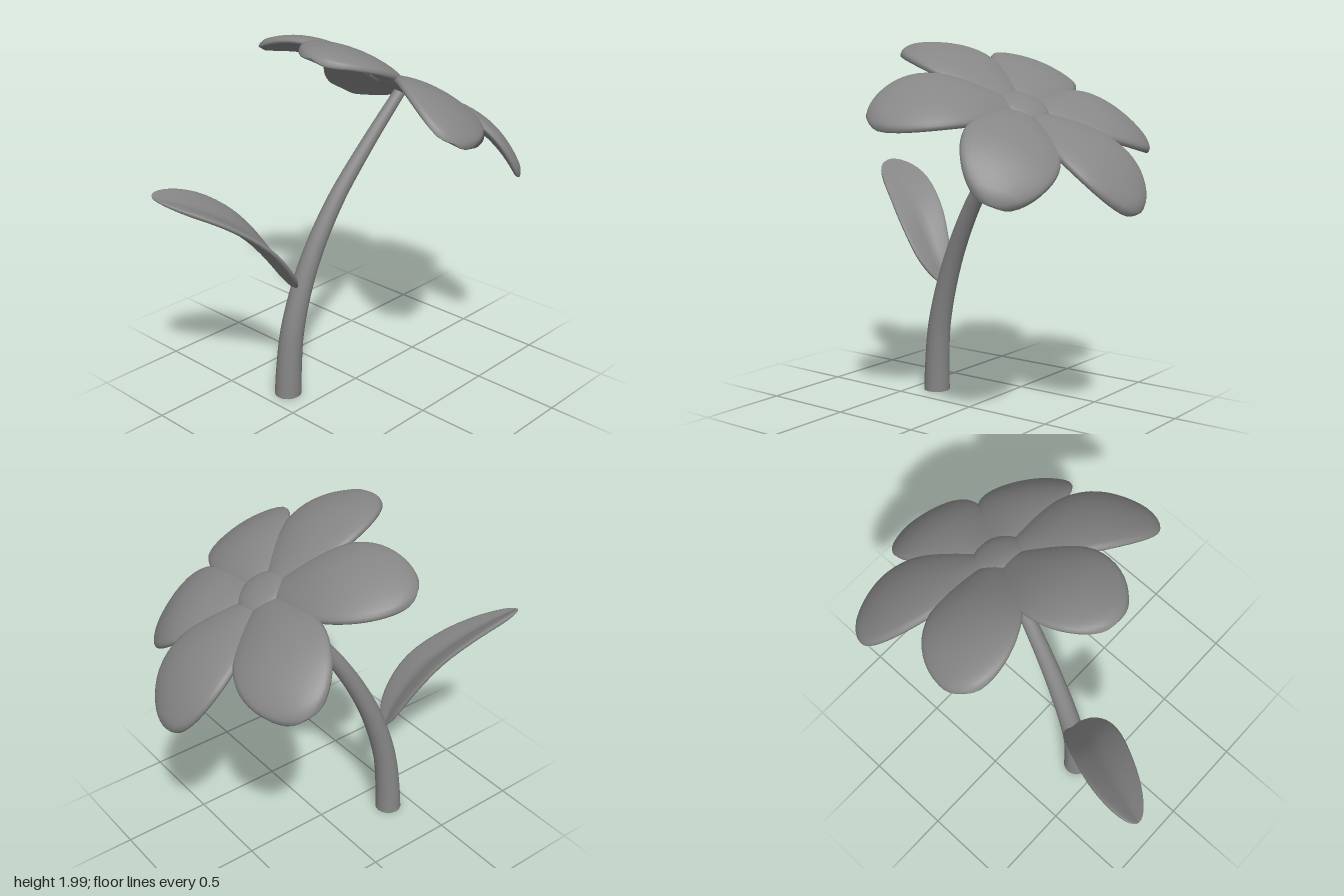
import * as THREE from 'three';

const material = new THREE.MeshStandardMaterial({ color: 0x868686 });
const V = (x, y, z) => new THREE.Vector3(x, y, z);

// Skin of closed cross-sections: point(s, angle) with s running 0..1 along the part
function loft(name, rings, sides, point, spacing = (t) => t) {
  const positions = [], index = [];
  for (let i = 0; i <= rings; i++) {
    for (let j = 0; j < sides; j++) {
      positions.push(...point(spacing(i / rings), (j / sides) * Math.PI * 2).toArray());
    }
  }
  for (let i = 0; i < rings; i++) {
    for (let j = 0; j < sides; j++) {
      const k = (j + 1) % sides;
      const a = i * sides + j, b = i * sides + k;
      index.push(a, b, b + sides, a, b + sides, a + sides);
    }
  }
  const geometry = new THREE.BufferGeometry();
  geometry.setAttribute('position', new THREE.Float32BufferAttribute(positions, 3));
  geometry.setIndex(index);
  geometry.computeVertexNormals();
  const mesh = new THREE.Mesh(geometry, material);
  mesh.name = name;
  return mesh;
}

const roundEnds = (t) => (1 - Math.cos(t * Math.PI)) / 2;
// Blade section with a blunt rim: [across, height], each -1..1
const bladeSection = (angle) => {
  const sin = Math.sin(angle);
  return [Math.cos(angle), Math.sign(sin) * Math.sqrt(Math.abs(sin))];
};
// Blade width 0..1, widest where s ** skew = 0.5
const bladeWidth = (s, skew, blunt) =>
  Math.pow(Math.max(0, Math.sin(Math.PI * Math.pow(s, skew))), blunt);

// Petal in the flower's frame: z outwards, y along the flower axis
function makePetal(length, droop) {
  return loft('petal', 26, 28, (s, angle) => {
    const [across, height] = bladeSection(angle);
    const d = 0.03 + s * (length - 0.03);
    const w = bladeWidth(s, 1.35, 0.48);
    const arch = 0.226 * d - droop * d ** 3;
    const camber = -0.03 * w * across * across;
    const thickness = 0.03 * Math.min(1, w * 2.5);
    return V(across * w * 0.25, arch + camber + height * thickness, d);
  }, roundEnds);
}

// Frame of a swept part: side is fixed, up is square to the path and the side
function frameAt(curve, side, s) {
  const up = curve.getTangentAt(s).cross(side).normalize();
  return { origin: curve.getPointAt(s), up };
}

function makeStem() {
  const curve = new THREE.CatmullRomCurve3([
    V(-0.172, 0, 0.368), V(-0.168, 0.15, 0.362), V(-0.158, 0.4, 0.335),
    V(-0.135, 0.75, 0.23), V(-0.095, 1.08, 0.065), V(-0.045, 1.37, -0.14),
    V(0.002, 1.625, -0.345),
  ]);
  const side = V(1, 0, 0);
  const stem = new THREE.Group();
  stem.name = 'stem';
  stem.add(loft('stalk', 28, 16, (s, angle) => {
    const { origin, up } = frameAt(curve, side, s);
    const r = 0.032 + 0.043 * Math.pow(1 - s, 1.1);
    const p = origin.addScaledVector(side, r * Math.cos(angle)).addScaledVector(up, r * Math.sin(angle));
    if (s === 0) p.y = 0;
    return p;
  }));
  const foot = new THREE.Mesh(new THREE.CircleGeometry(0.075, 16), material);
  foot.name = 'stalkFoot';
  foot.rotation.x = Math.PI / 2;
  foot.position.set(-0.172, 0, 0.368);
  stem.add(foot);
  return stem;
}

function makeLeaf() {
  const curve = new THREE.CatmullRomCurve3([
    V(-0.18, 0.635, 0.305), V(-0.19, 0.81, 0.41), V(-0.24, 0.99, 0.54),
    V(-0.33, 1.14, 0.72), V(-0.45, 1.275, 0.995),
  ]);
  const side = V(0.92, -0.36, 0.1).normalize();
  return loft('leaf', 24, 28, (s, angle) => {
    const [across, height] = bladeSection(angle);
    const { origin, up } = frameAt(curve, side, s);
    const w = bladeWidth(s, 1, 0.5);
    // Edges lift away from the midrib to form a shallow fold
    const fold = 0.04 * w * (Math.abs(across) - 0.5);
    const thickness = 0.019 * Math.min(1, w * 1.5);
    return origin.addScaledVector(side, across * w * 0.168).addScaledVector(up, fold + height * thickness);
  }, roundEnds);
}

function makeFlower() {
  const flower = new THREE.Group();
  flower.name = 'flower';
  // Petals from the front one round towards +x: [length, droop]
  const petals = [[0.785, 0.5], [0.81, 0.62], [0.775, 0.68], [0.805, 0.54], [0.81, 0.52], [0.8, 0.54]];
  petals.forEach(([length, droop], i) => {
    const petal = makePetal(length, droop);
    petal.rotation.y = (i * Math.PI) / 3;
    flower.add(petal);
  });
  // Domed heart resting on the petal bases
  const heart = new THREE.Mesh(new THREE.SphereGeometry(0.135, 24, 14), material);
  heart.name = 'flowerCentre';
  heart.scale.y = 0.28;
  heart.position.y = 0.035;
  flower.add(heart);

  // Flower axis leans back and slightly to its left
  const axis = V(0.14, 1, -0.57).normalize();
  const across = V(axis.y, -axis.x, 0).normalize();
  const forward = across.clone().cross(axis);
  flower.quaternion.setFromRotationMatrix(new THREE.Matrix4().makeBasis(across, axis, forward));
  flower.position.set(0.005, 1.63, -0.345);
  return flower;
}

export function createModel() {
  const model = new THREE.Group();
  model.name = 'flowerPlant';
  model.add(makeStem(), makeLeaf(), makeFlower());
  return model;
}
